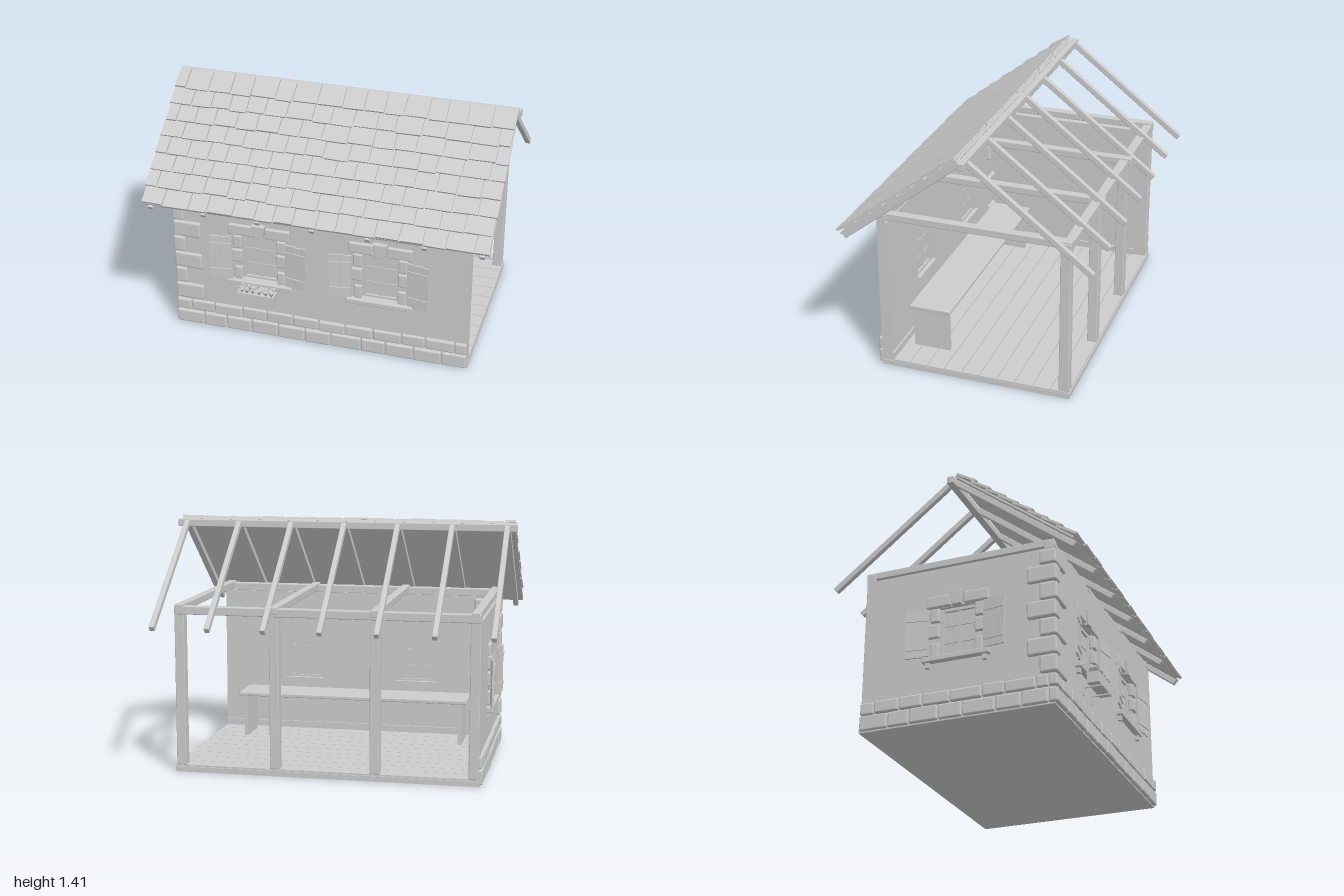
import * as THREE from 'three';
import { RoundedBoxGeometry } from 'three/addons/geometries/RoundedBoxGeometry.js';

const grey = new THREE.MeshStandardMaterial({ color: 0xcccccc });
grey.name = 'plain grey';

let seed = 7;
const rnd = () => (seed = (seed * 16807) % 2147483647) / 2147483647;
const jit = (a) => (rnd() - 0.5) * 2 * a;

function add(parent, name, geo) {
  const m = new THREE.Mesh(geo, grey);
  m.name = name;
  parent.add(m);
  return m;
}
// Boxes given by their extents on each axis
function box(parent, name, [x0, x1], [y0, y1], [z0, z1]) {
  const m = add(parent, name, new THREE.BoxGeometry(x1 - x0, y1 - y0, z1 - z0));
  m.position.set((x0 + x1) / 2, (y0 + y1) / 2, (z0 + z1) / 2);
  return m;
}
function stone(parent, name, [x0, x1], [y0, y1], [z0, z1], r = 0.008) {
  const w = x1 - x0, h = y1 - y0, d = z1 - z0;
  const m = add(parent, name, new RoundedBoxGeometry(w, h, d, 2, Math.min(r, w / 3, h / 3, d / 3)));
  m.position.set((x0 + x1) / 2, (y0 + y1) / 2, (z0 + z1) / 2);
  return m;
}
const beam = (p, n, x, y, z) => stone(p, n, x, y, z, 0.005);
function group(parent, name) {
  const g = new THREE.Group();
  g.name = name;
  parent.add(g);
  return g;
}

const WIN = { w: 0.108, y0: 0.36, y1: 0.66 };
const T = 0.06; // wall thickness

// Wall panel in its own frame: outer face at z = 0, window holes at the given x
function wall(parent, name, x0, x1, holes) {
  const s = new THREE.Shape();
  s.moveTo(x0, 0.03).lineTo(x1, 0.03).lineTo(x1, 0.905).lineTo(x0, 0.905).closePath();
  for (const c of holes) {
    const h = new THREE.Path();
    h.moveTo(c - WIN.w, WIN.y0).lineTo(c - WIN.w, WIN.y1).lineTo(c + WIN.w, WIN.y1).lineTo(c + WIN.w, WIN.y0).closePath();
    s.holes.push(h);
  }
  const geo = new THREE.ExtrudeGeometry(s, { depth: T, bevelEnabled: false });
  geo.translate(0, 0, -T);
  return add(parent, name, geo);
}

// Window with frame, stone surround, sill and open shutters; wall face at z = 0
function windowUnit(parent, name, x) {
  const g = group(parent, name);
  g.position.x = x;
  const { w, y0, y1 } = WIN;
  box(g, 'glassPane', [-w, w], [y0, y1], [-0.04, -0.034]);
  for (const s of [-1, 1]) {
    const a = s * w, b = s * (w - 0.018);
    box(g, 'frameSide', [Math.min(a, b), Math.max(a, b)], [y0, y1], [-0.052, -0.02]);
  }
  box(g, 'frameTop', [-w, w], [y1 - 0.018, y1], [-0.052, -0.02]);
  box(g, 'frameBottom', [-w, w], [y0, y0 + 0.018], [-0.052, -0.02]);
  box(g, 'mullion', [-0.007, 0.007], [y0, y1], [-0.046, -0.027]);
  for (const y of [0.46, 0.56]) box(g, 'glazingBar', [-w, w], [y - 0.004, y + 0.004], [-0.044, -0.029]);
  box(g, 'innerSill', [-0.124, 0.124], [y0 - 0.006, y0 + 0.006], [-0.08, -0.055]);

  // Stone surround
  for (const s of [-1, 1]) {
    [[0.575, 0.655, 0.155], [0.482, 0.562, 0.168], [0.368, 0.45, 0.15]].forEach(([a, b, o]) => {
      const xs = s < 0 ? [-o, -0.104] : [0.104, o];
      stone(g, 'jambStone', xs, [a, b], [-0.02, 0.016]);
    });
    stone(g, 'lintelStone', s < 0 ? [-0.182, -0.038] : [0.038, 0.182], [0.662, 0.728], [-0.02, 0.018]);
    box(g, 'sillBracket', [s * 0.165 - 0.012, s * 0.165 + 0.012], [0.308, 0.337], [0, 0.022]);
  }
  const key = new THREE.Shape();
  key.moveTo(-0.024, 0.662).lineTo(0.024, 0.662).lineTo(0.037, 0.74).lineTo(-0.037, 0.74).closePath();
  const keyGeo = new THREE.ExtrudeGeometry(key, { depth: 0.025, bevelSize: 0.003, bevelThickness: 0.003, bevelSegments: 1 });
  add(g, 'keystone', keyGeo);
  stone(g, 'sill', [-0.193, 0.193], [0.337, 0.366], [-0.03, 0.035], 0.005);

  // Plank shutters, swung slightly off the wall
  for (const s of [-1, 1]) {
    const sh = group(g, 'shutter');
    sh.position.set(s * 0.16, 0, 0.016);
    sh.rotation.y = -s * 0.17;
    for (let i = 0; i < 4; i++) {
      const c = s * (0.016 + i * 0.0325);
      box(sh, 'shutterPlank', [c - 0.0155, c + 0.0155], [0.372 + jit(0.004), 0.65 + jit(0.004)], [0, 0.01]);
    }
    for (const y of [0.425, 0.595]) {
      box(sh, 'shutterBatten', s < 0 ? [-0.126, -0.004] : [0.004, 0.126], [y - 0.013, y + 0.013], [0.01, 0.016]);
    }
  }
  return g;
}

// Two courses of foundation stones along local x
function foundation(parent, x0, x1) {
  [[0.008, 0.09, 0.022], [0.098, 0.165, 0.018]].forEach(([a, b, out], row) => {
    const n = Math.round((x1 - x0) / 0.158);
    const step = (x1 - x0) / n;
    const cuts = [x0];
    for (let i = row ? 0.5 : 1; i < n; i++) cuts.push(x0 + i * step + jit(0.018));
    cuts.push(x1);
    for (let i = 0; i + 1 < cuts.length; i++) {
      stone(parent, 'foundationStone', [cuts[i] + 0.003, cuts[i + 1] - 0.003], [a, b + jit(0.003)], [-0.03, out + jit(0.003)], 0.01);
    }
  });
}

export function createModel() {
  const house = new THREE.Group();
  house.name = 'cutawayHouse';

  // Floor
  box(house, 'floorSlab', [-0.865, 0.865], [0, 0.03], [-0.56, 0.55]);
  for (let i = 0; i < 10; i++) {
    const z = -0.556 + i * 0.1045;
    box(house, 'floorBoard', [-0.8, 0.863], [0.03, 0.04], [z + 0.002, z + 0.1025]);
  }

  // Front wall
  const front = group(house, 'frontSide');
  front.position.z = 0.55;
  wall(front, 'frontWall', -0.86, 0.86, [-0.358, 0.352]);
  const planted = windowUnit(front, 'frontWindowRight', -0.358);
  windowUnit(front, 'frontWindowLeft', 0.352);
  foundation(front, -0.884, 0.862);

  // Side wall
  const side = group(house, 'rightSide');
  side.position.x = -0.86;
  side.rotation.y = -Math.PI / 2;
  wall(side, 'sideWall', -0.55, 0.49, [0]);
  windowUnit(side, 'sideWindow', 0);
  foundation(side, -0.558, 0.518);

  // Skirting boards
  box(house, 'sideSkirting', [-0.8, -0.79], [0.04, 0.08], [-0.48, 0.48]);
  box(house, 'frontSkirting', [-0.79, 0.86], [0.04, 0.08], [0.48, 0.49]);

  // Alternating corner stones
  for (let i = 0; i < 7; i++) {
    const y = 0.176 + i * 0.1055, long = i % 2 === 0;
    stone(house, 'cornerStone', [-0.878 + jit(0.004), long ? -0.71 : -0.808],
      [y, Math.min(y + 0.098, 0.892)], [long ? 0.47 : 0.4, 0.567 + jit(0.003)], 0.012);
  }

  // Flower box
  const fb = group(planted, 'flowerBox');
  box(fb, 'planterBottom', [-0.11, 0.11], [0.27, 0.28], [0.037, 0.105]);
  for (const z of [0.037, 0.097]) box(fb, 'planterLongSide', [-0.11, 0.11], [0.27, 0.333], [z, z + 0.008]);
  for (const x of [-0.11, 0.102]) box(fb, 'planterEnd', [x, x + 0.008], [0.27, 0.333], [0.037, 0.105]);
  box(fb, 'soil', [-0.102, 0.102], [0.31, 0.325], [0.045, 0.097]);
  for (const x of [-0.065, 0.065]) {
    box(fb, 'planterArm', [x - 0.004, x + 0.004], [0.262, 0.27], [0, 0.105]);
    box(fb, 'planterBracket', [x - 0.004, x + 0.004], [0.22, 0.27], [0, 0.008]);
  }
  for (let i = 0; i < 12; i++) {
    const x = -0.09 + (i >> 1) * 0.036, z = 0.056 + (i % 2) * 0.03;
    const leaf = add(fb, 'leaves', new THREE.ConeGeometry(0.018, 0.032, 5).rotateX(Math.PI));
    leaf.position.set(x + jit(0.006), 0.338, z);
    leaf.rotation.y = rnd() * 6;
    const bloom = add(fb, 'blossom', new THREE.IcosahedronGeometry(0.012, 0));
    bloom.position.set(x + jit(0.008), 0.362 + jit(0.012), z + jit(0.006));
  }

  // Posts, wall plates and tie beams
  const posts = [-0.832, -0.28, 0.288, 0.832];
  for (const x of posts) {
    const mid = Math.abs(x) < 0.5;
    beam(house, 'backPost', [x - 0.028, x + 0.028], [0.04, 0.91], [-0.555, -0.497]);
    beam(house, 'tieBeam', [x - 0.024, x + 0.024], [0.918, 0.96], [mid ? -0.575 : -0.558, 0.55]);
  }
  beam(house, 'backPlate', [-0.86, 0.86], [0.903, 0.95], [-0.558, -0.505]);
  beam(house, 'frontPlate', [-0.86, 0.86], [0.903, 0.95], [0.495, 0.547]);

  // Bench along the front wall
  const bench = group(house, 'bench');
  beam(bench, 'benchTop', [-0.7, 0.7], [0.29, 0.312], [0.198, 0.445]);
  for (const x of [-0.66, 0.66]) box(bench, 'benchEnd', [x - 0.012, x + 0.012], [0.04, 0.29], [0.215, 0.43]);

  // Ridge and rafters
  const pitch = Math.atan2(0.537, 0.69), ridgeY = 1.362;
  beam(house, 'ridgeBeam', [-1, 1], [1.347, 1.39], [-0.02, 0.02]);
  for (const s of [1, -1]) {
    const slope = group(house, s > 0 ? 'frontRafters' : 'backRafters');
    slope.position.y = ridgeY;
    slope.rotation.x = s * pitch;
    for (let i = -3; i <= 3; i++) {
      const x = i * 0.3145;
      beam(slope, 'rafter', [x - 0.015, x + 0.015], [0, 0.035], s > 0 ? [0.005, 0.875] : [-0.875, -0.005]);
    }
  }

  // Roof deck and staggered shingles
  const roof = group(house, 'frontRoof');
  roof.position.y = ridgeY;
  roof.rotation.x = pitch;
  box(roof, 'roofDeck', [-0.985, 0.985], [0.035, 0.047], [0, 0.862]);
  for (let row = 0; row < 8; row++) {
    const end = 0.868 - row * 0.1045, len = 0.132;
    const cuts = [-0.99 + jit(0.004)];
    let x = -0.99 + (row % 2 ? 0.068 : 0.13);
    for (; x < 0.93; x += 0.1 + rnd() * 0.055) cuts.push(x);
    cuts.push(0.99 + jit(0.004));
    for (let i = 0; i + 1 < cuts.length; i++) {
      const w = cuts[i + 1] - cuts[i] - 0.007;
      const m = add(roof, 'shingle', new THREE.BoxGeometry(w, 0.014, len));
      m.position.set((cuts[i] + cuts[i + 1]) / 2, 0.061 + jit(0.0015), end - len / 2 + jit(0.005));
      m.rotation.set(0.1 + jit(0.01), jit(0.018), jit(0.012));
      m.rotation.x *= -1;
      m.rotation.x += 0; // lower edge lifted over the row below
    }
  }
  return house;
}
